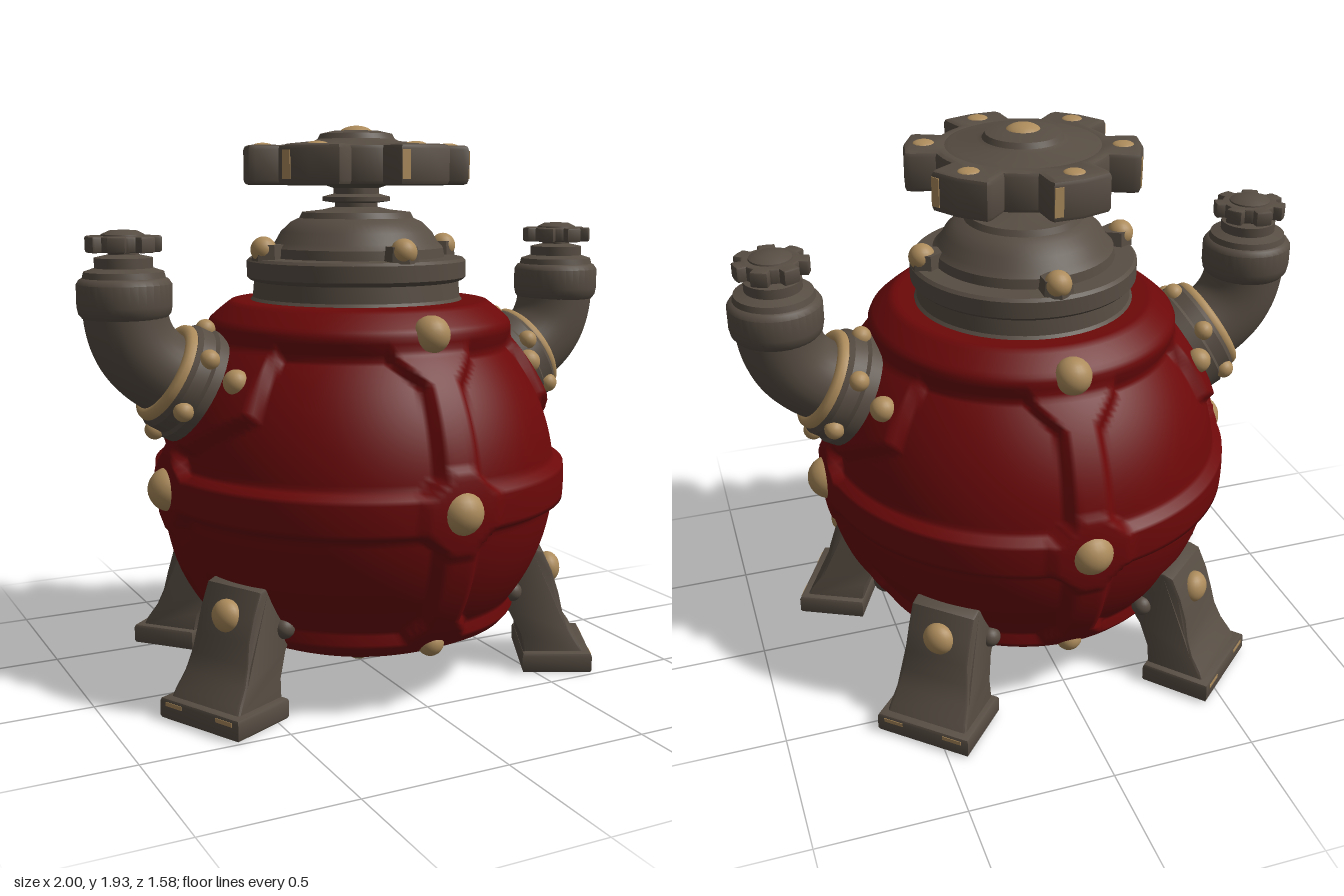
import * as THREE from 'three';
import { mergeVertices, toCreasedNormals } from 'three/addons/utils/BufferGeometryUtils.js';

const paint = (name, color) => Object.assign(new THREE.MeshStandardMaterial({ color }), { name });
const V2 = (a) => a.map(([x, y]) => new THREE.Vector2(x, y));
const TAU = Math.PI * 2;

function add(parent, name, geometry, material, x = 0, y = 0, z = 0) {
  const m = new THREE.Mesh(geometry, material);
  m.name = name;
  m.position.set(x, y, z);
  parent.add(m);
  return m;
}

function group(parent, name) {
  const g = new THREE.Group();
  g.name = name;
  parent.add(g);
  return g;
}

const lathe = (pts, seg = 48) => toCreasedNormals(new THREE.LatheGeometry(V2(pts), seg), 0.6);

// Lobed handwheel outline, extruded upwards from y = 0
function gear(n, rOut, rIn, hole, height, phase) {
  const pts = [];
  for (let i = 0; i < n; i++) {
    for (const [f, r] of [[-0.33, rIn], [-0.28, rOut * 0.95], [-0.25, rOut], [0, rOut], [0.25, rOut], [0.28, rOut * 0.95], [0.33, rIn], [0.42, rIn], [0.5, rIn], [0.58, rIn]]) {
      const a = phase + ((i + f) * TAU) / n;
      pts.push([r * Math.cos(a), r * Math.sin(a)]);
    }
  }
  const shape = new THREE.Shape(V2(pts));
  if (hole) shape.holes.push(new THREE.Path().absarc(0, 0, hole, 0, TAU, true));
  const b = height * 0.12;
  const g = new THREE.ExtrudeGeometry(shape, {
    depth: height - 2 * b, bevelEnabled: true, bevelThickness: b, bevelSize: b, bevelOffset: -b, bevelSegments: 2, curveSegments: 24,
  });
  g.translate(0, 0, b).rotateX(-Math.PI / 2);
  return toCreasedNormals(g, 0.6);
}

// Round tank whose bands, pads and side plates are raised from a sphere
function tankGeometry() {
  let g = new THREE.SphereGeometry(1, 216, 150);
  g.deleteAttribute('uv');
  g.deleteAttribute('normal');
  g = mergeVertices(g, 1e-4);
  const p = g.attributes.position;
  const n = new THREE.Vector3();
  const step = (d) => THREE.MathUtils.smoothstep(d, -0.01, 0.01);
  const oct = (u, v, r) => r - Math.max(Math.abs(u), Math.abs(v), (Math.abs(u) + Math.abs(v)) / 1.35);
  for (let i = 0; i < p.count; i++) {
    n.fromBufferAttribute(p, i).normalize();
    const x = n.x * 0.7, y = n.y * 0.7, z = n.z * 0.7;
    const ax = Math.abs(x), az = Math.abs(z), u = Math.min(ax, az);
    const plate = Math.min(ax - 0.2, y - 0.15 - Math.max(0, az - 0.12) * 0.6, 0.34 - 0.25 * (y - 0.27) - az);
    const pad = oct(u, y, 0.135);
    const d = Math.max(
      0.068 - Math.abs(y), 0.065 - u, pad,
      y - 0.48, -0.44 - y, oct(u, y - 0.51, 0.14), oct(u, y + 0.46, 0.11), plate,
    );
    const r = 0.69 + 0.034 * step(d) + 0.01 * step(pad) + 0.04 * THREE.MathUtils.smoothstep(y, 0.47, 0.51);
    n.multiplyScalar(r);
    const rad = Math.hypot(n.x, n.z);
    n.y = Math.min(0.62, Math.max(n.y, -0.635 + 0.5 * rad * rad));
    p.setXYZ(i, n.x, n.y + 0.71, n.z * 1.02);
  }
  g.computeVertexNormals();
  return g;
}

export function createModel() {
  const root = new THREE.Group();
  root.name = 'valveTank';
  const red = paint('red paint', 0x6c0809);
  const iron = paint('dark iron', 0x574d43);
  const brass = paint('worn brass', 0xad8c5c);

  const rivet = (parent, name, r, x, y, z, mat = brass) =>
    add(parent, name, new THREE.SphereGeometry(r, 20, 14), mat, x, y, z);

  const upper = group(root, 'tank');
  upper.position.z = -0.017;
  add(upper, 'tankShell', tankGeometry(), red);

  // Large rivets on the bands
  for (let i = 0; i < 4; i++) {
    const s = Math.sin((i * TAU) / 4), c = Math.cos((i * TAU) / 4);
    rivet(upper, 'bandRivet', 0.076, s * 0.71, 0.715, c * 0.712);
    rivet(upper, 'lowerRivet', 0.046, s * 0.53, 0.232, c * 0.53, i === 1 ? iron : brass);
    if (i % 2 === 0) rivet(upper, 'shoulderRivet', 0.062, 0, 1.255, c * 0.52);
  }

  // Drain boss under the tank
  add(upper, 'drainBoss', lathe([[0, 0.02], [0.05, 0.02], [0.075, 0.04], [0.085, 0.06], [0.13, 0.066], [0.135, 0.09], [0.12, 0.13]]), iron);
  rivet(upper, 'drainPlug', 0.054, 0, 0.054, 0);

  // Stepped neck and dome with flange bolts
  const neck = group(upper, 'neck');
  neck.position.z = -0.019;
  add(neck, 'neckDome', lathe([
    [0.39, 1.31], [0.365, 1.34], [0.36, 1.395], [0.375, 1.4], [0.385, 1.41], [0.385, 1.465], [0.375, 1.475],
    [0.31, 1.478], [0.305, 1.51], [0.285, 1.53], [0.265, 1.565], [0.23, 1.598], [0.2, 1.612], [0.19, 1.632],
    [0.12, 1.64], [0.075, 1.65], [0.075, 1.664], [0.118, 1.67], [0.118, 1.685], [0.08, 1.695], [0.08, 1.715],
    [0.11, 1.725], [0.13, 1.79], [0, 1.79],
  ], 64), iron);
  for (let i = 0; i < 4; i++) {
    const a = (i * TAU) / 4, c = Math.cos(a), s = Math.sin(a);
    add(neck, 'flangeBoltBase', toCreasedNormals(new THREE.CylinderGeometry(0.052, 0.058, 0.055, 6), 0.5), iron, 0.335 * c, 1.498, 0.335 * s);
    rivet(neck, 'flangeBolt', 0.045, 0.352 * c, 1.508, 0.352 * s);
  }

  // Main handwheel
  const wheel = group(neck, 'handwheel');
  const phase = 0.71;
  add(wheel, 'wheelRim', gear(6, 0.392, 0.295, 0.235, 0.135, phase), iron, 0, 1.725, 0);
  add(wheel, 'wheelDisc', lathe([
    [0, 1.77], [0.14, 1.77], [0.26, 1.8], [0.27, 1.855], [0.24, 1.866], [0.15, 1.875], [0.135, 1.882],
    [0.125, 1.9], [0.08, 1.91], [0, 1.91],
  ]), iron);
  rivet(wheel, 'wheelCap', 0.064, 0, 1.893, 0).scale.y = 0.55;
  for (let i = 0; i < 6; i++) {
    const lobe = group(wheel, 'wheelLobe');
    lobe.rotation.y = phase + (i * TAU) / 6;
    rivet(lobe, 'lobeStud', 0.037, 0.325, 1.856, 0).scale.y = 0.35;
    // worn trailing edge of the lobe
    const wear = new THREE.BoxGeometry(0.008, 0.095, 0.03).translate(0.388, 0, 0.035);
    add(lobe, 'lobeWear', wear, brass, 0, 1.793, 0).rotation.y = -0.131;
  }

  // Side pipes
  const pipePath = new THREE.CubicBezierCurve3(
    new THREE.Vector3(0.6, 1.05, 0), new THREE.Vector3(0.76, 1.12, 0),
    new THREE.Vector3(0.845, 1.18, 0), new THREE.Vector3(0.845, 1.36, 0));
  for (const side of [0, 1]) {
    const pipe = group(upper, side ? 'rightPipe' : 'leftPipe');
    pipe.rotation.y = side * Math.PI;
    pipe.position.z = -0.014;
    add(pipe, 'pipeElbow', new THREE.TubeGeometry(pipePath, 28, 0.138, 32), iron);
    add(pipe, 'pipeCollar', lathe([
      [0.138, 1.3], [0.15, 1.315], [0.155, 1.34], [0.155, 1.41], [0.145, 1.425], [0.135, 1.43], [0.13, 1.45],
      [0.095, 1.462], [0.095, 1.495], [0.05, 1.505], [0.05, 1.53],
    ], 36), iron, 0.845);
    add(pipe, 'tapWheel', gear(7, 0.125, 0.096, 0, 0.052, 0.2), iron, 0.845, 1.513, 0);
    add(pipe, 'tapHub', lathe([[0.075, 1.55], [0.07, 1.57], [0.045, 1.582], [0, 1.585]], 24), iron, 0.845);

    // Tilted flange against the tank
    const flange = group(pipe, 'pipeFlange');
    flange.position.y = 0.71;
    flange.rotation.z = -1.056;
    add(flange, 'flangeBody', lathe([[0.2, 0.62], [0.2, 0.735], [0.19, 0.745], [0.187, 0.79], [0.175, 0.805], [0.12, 0.815]], 40), iron);
    const ring = add(flange, 'flangeRing', new THREE.TorusGeometry(0.15, 0.025, 10, 40), brass, 0, 0.81, 0);
    ring.rotation.x = Math.PI / 2;
    for (let i = 0; i < 6; i++) {
      const a = (i * TAU) / 6;
      rivet(flange, 'flangeRivet', 0.034, 0.188 * Math.cos(a), 0.76, 0.188 * Math.sin(a));
    }
    for (const s of [-1, 1]) rivet(pipe, 'plateRivet', 0.043, 0.56, 1.1, s * 0.253);
  }

  // Four splayed legs, drawn in side profile and tapered towards the top
  const legs = group(root, 'legs');
  legs.position.z = -0.034;
  const legShape = new THREE.Shape(V2([
    [0.6, 0.06], [0.82, 0.06], [0.8, 0.1], [0.765, 0.15], [0.74, 0.21], [0.725, 0.28], [0.7, 0.36], [0.665, 0.435],
    [0.63, 0.445], [0.5, 0.44], [0.47, 0.36], [0.49, 0.28], [0.55, 0.21], [0.59, 0.13],
  ]));
  const legGeometry = new THREE.ExtrudeGeometry(legShape, {
    depth: 0.92, bevelEnabled: true, bevelThickness: 0.04, bevelSize: 0.01, bevelOffset: -0.01, bevelSegments: 2,
  });
  legGeometry.translate(0, 0, -0.46);
  const lp = legGeometry.attributes.position;
  for (let i = 0; i < lp.count; i++) {
    const t = THREE.MathUtils.clamp((lp.getY(i) - 0.06) / 0.2, 0, 1);
    lp.setZ(i, lp.getZ(i) * (0.3 - 0.065 * t));
  }
  const legSmooth = toCreasedNormals(legGeometry, 0.6);
  const footShape = new THREE.Shape(V2([[0.6, -0.165], [0.835, -0.165], [0.835, 0.165], [0.6, 0.165]]));
  const footExtrude = new THREE.ExtrudeGeometry(footShape, {
    depth: 0.05, bevelEnabled: true, bevelThickness: 0.012, bevelSize: 0.012, bevelOffset: -0.006, bevelSegments: 2,
  });
  footExtrude.translate(0, 0, 0.012).rotateX(-Math.PI / 2);
  const footSmooth = toCreasedNormals(footExtrude, 0.6);
  for (const [name, deg] of [['frontLeftLeg', -26.5], ['frontRightLeg', 206.5], ['backLeftLeg', 48], ['backRightLeg', 132]]) {
    const leg = group(legs, name);
    leg.rotation.y = THREE.MathUtils.degToRad(deg);
    add(leg, 'legStrut', legSmooth, iron);
    add(leg, 'foot', footSmooth, iron);
    rivet(leg, 'legRivet', 0.056, 0.698, 0.345, 0).scale.x = 0.8;
    for (const s of [-1, 1]) {
      rivet(leg, 'legBolt', 0.036, 0.555, 0.29, s * 0.122, iron);
      add(leg, 'footWear', new THREE.BoxGeometry(0.008, 0.014, 0.07), brass, 0.839, 0.055, s * 0.11);
    }
  }
  return root;
}
